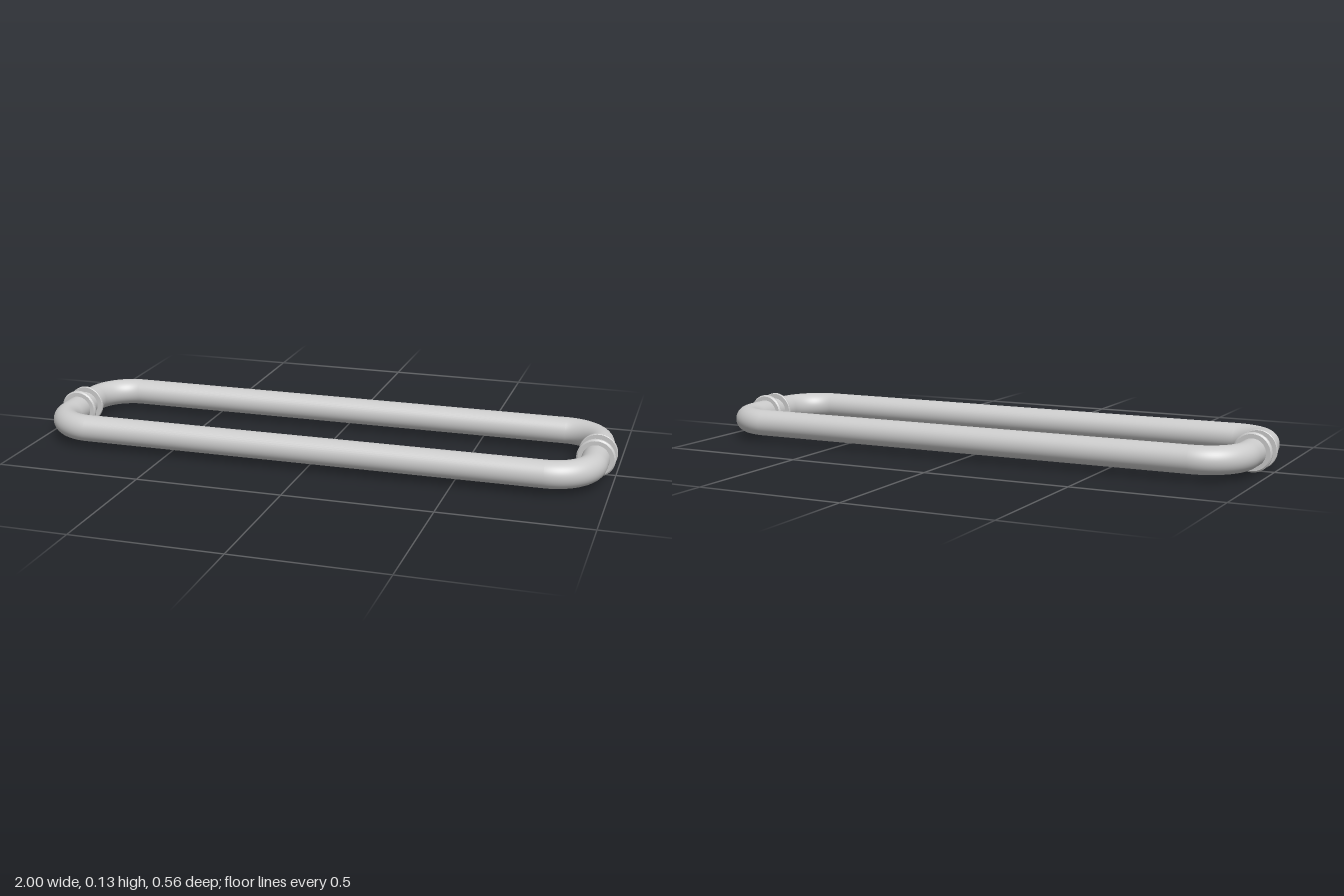
import * as THREE from 'three';

const R = 0.046;      // bar radius
const Y = 0.065;      // height of the bar axis
const X = 0.935;      // axis of the short ends
const Z = 0.234;      // axis of the long grips
const BEND = 0.135;   // corner bend radius
const SIDES = 48;

const material = new THREE.MeshStandardMaterial({ color: 0xcccccc });

function add(parent, name, geometry, x, y, z) {
  const mesh = new THREE.Mesh(geometry, material);
  mesh.name = name;
  mesh.position.set(x, y, z);
  parent.add(mesh);
}

// Mounting washer, chamfered on the side away from the door
function washerGeometry() {
  const profile = [[0, 0.024], [0.063, 0.024], [0.065, 0.026], [0.065, 0.033], [0.06, 0.0375], [0, 0.0375]];
  // Doubled rim points keep each edge sharp
  const points = profile.flatMap(([r, h], i) => {
    const p = new THREE.Vector2(r, h);
    return i > 0 && i < profile.length - 1 ? [p, p.clone()] : [p];
  });
  return new THREE.LatheGeometry(points, SIDES).rotateX(Math.PI / 2);
}

// One D-shaped pull handle, on the +z side
function createPull() {
  const pull = new THREE.Group();
  const gripLength = 2 * (X - BEND);
  add(pull, 'grip', new THREE.CylinderGeometry(R, R, gripLength, SIDES, 1, true).rotateZ(Math.PI / 2), 0, Y, Z);

  for (const [side, label] of [[1, 'left'], [-1, 'right']]) {
    const bend = new THREE.TorusGeometry(BEND, R, SIDES, 32, Math.PI / 2).rotateX(Math.PI / 2);
    if (side < 0) bend.rotateY(-Math.PI / 2);
    add(pull, label + 'Bend', bend, side * (X - BEND), Y, Z - BEND);

    const legLength = Z - BEND;
    const leg = new THREE.CylinderGeometry(R, R, legLength, SIDES, 1, true).rotateX(Math.PI / 2);
    add(pull, label + 'Leg', leg, side * X, Y, legLength / 2);
    add(pull, label + 'Washer', washerGeometry(), side * X, Y, 0);
  }
  return pull;
}

export function createModel() {
  const model = new THREE.Group();
  model.name = 'doublePullHandle';

  const front = createPull();
  front.name = 'frontPull';
  const back = createPull();
  back.name = 'backPull';
  back.rotation.y = Math.PI;

  model.add(front, back);
  return model;
}
